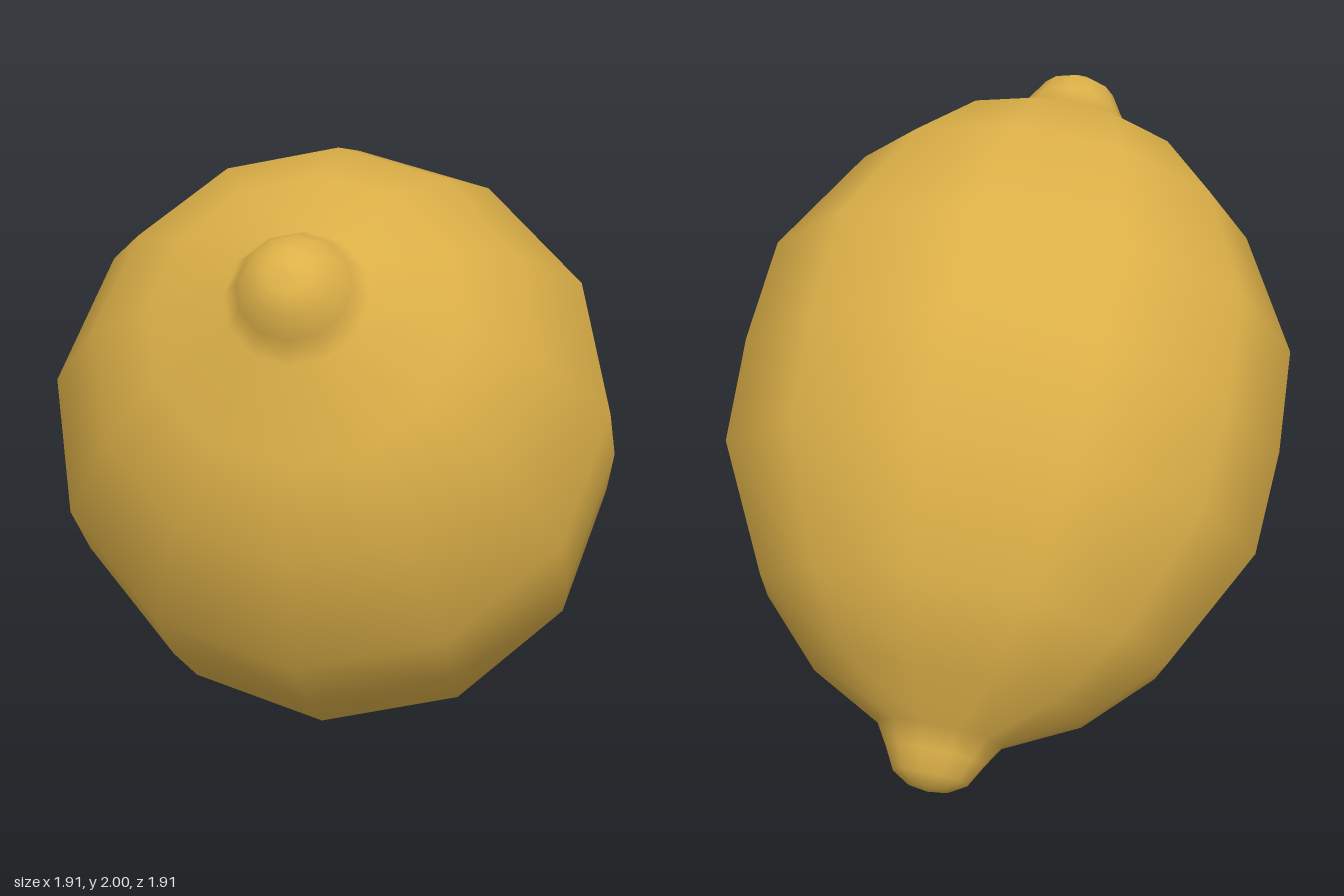
import * as THREE from 'three';

export function createModel() {
  const group = new THREE.Group();
  group.name = 'lemon';

  const lemonYellow = new THREE.MeshStandardMaterial({ color: 0xdcb048 });
  lemonYellow.name = 'lemonYellow';

  // Half profile from the middle to the tip: [radius, distance along axis]
  const half = [
    [0.89, 0.346], [0.68, 0.733], [0.46, 0.95], [0.21, 1.08],
    [0.165, 1.15], [0.125, 1.22], [0.065, 1.255], [0, 1.265],
  ];
  const profile = [
    ...half.map(([r, t]) => new THREE.Vector2(r, -t)).reverse(),
    new THREE.Vector2(0.91, 0),
    ...half.map(([r, t]) => new THREE.Vector2(r, t)),
  ];

  // Twelve-sided fruit with a nub at each end, leaning along its diagonal
  const geometry = new THREE.LatheGeometry(profile, 12);
  geometry.rotateY(Math.PI / 4);
  const fruit = new THREE.Mesh(geometry, lemonYellow);
  fruit.name = 'fruitBody';
  fruit.quaternion.setFromUnitVectors(
    new THREE.Vector3(0, 1, 0),
    new THREE.Vector3(-0.5, Math.SQRT1_2, 0.5).normalize(),
  );
  fruit.position.y = 1;
  group.add(fruit);

  return group;
}
